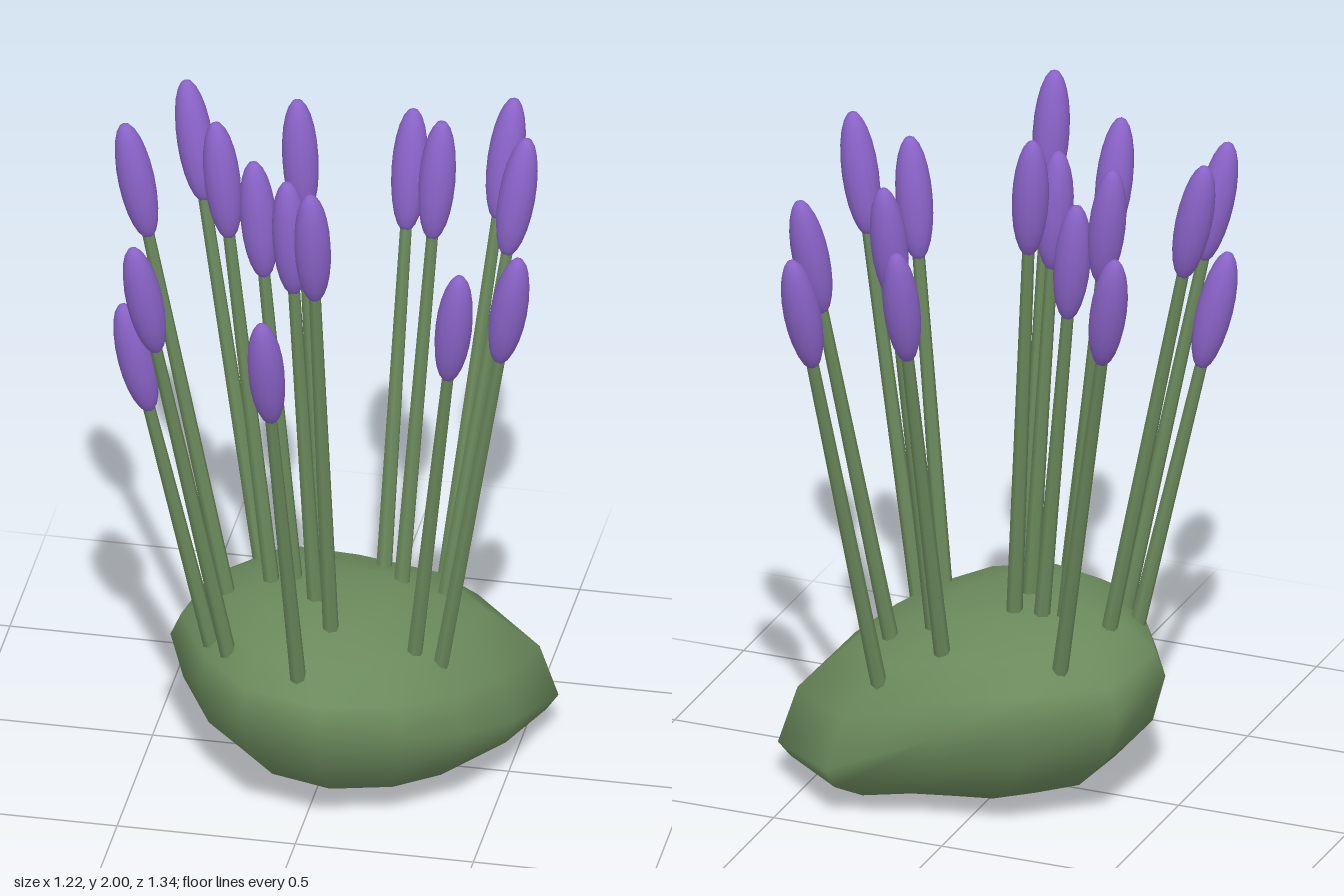
import * as THREE from 'three';

const green = new THREE.MeshStandardMaterial({ color: 0x6b8a5c });
green.name = 'leafGreen';
const purple = new THREE.MeshStandardMaterial({ color: 0x8a63c8 });
purple.name = 'budPurple';

// Widest outline of the mound [x, y, z]; it tips down towards the back right
const RIM = [
  [-0.2, 0.36, -0.41], [0.05, 0.29, -0.44], [0.36, 0.15, -0.465], [0.59, 0.11, -0.25],
  [0.53, 0.2, 0.06], [0.43, 0.26, 0.26], [0.28, 0.32, 0.42], [0.06, 0.36, 0.505],
  [-0.17, 0.36, 0.44], [-0.32, 0.34, 0.27], [-0.44, 0.36, 0.05], [-0.405, 0.33, -0.22],
];
const CROWN = [-0.05, 0.538, 0.05];
const FOOT = [0.1, 0, -0.05];

// Each flower: where its stem leaves the mound, then the centre of its bud
const FLOWERS = [
  [[-0.28, 0.46, 0.02], [-0.545, 1.77, 0.0]],
  [[-0.245, 0.47, -0.235], [-0.465, 1.66, -0.425]],
  [[-0.24, 0.47, 0.265], [-0.44, 1.64, 0.415]],
  [[-0.3, 0.45, 0.2], [-0.49, 1.375, 0.285]],
  [[-0.17, 0.52, -0.02], [-0.32, 1.75, -0.08]],
  [[-0.11, 0.53, -0.04], [-0.22, 1.63, -0.09]],
  [[-0.03, 0.53, -0.045], [-0.11, 1.82, -0.125]],
  [[-0.03, 0.53, 0.07], [-0.095, 1.69, 0.09]],
  [[-0.015, 0.48, 0.39], [-0.06, 1.56, 0.605]],
  [[0.04, 0.52, 0.2], [0.015, 1.81, 0.33]],
  [[0.1, 0.49, -0.26], [0.125, 1.6, -0.485]],
  [[0.17, 0.48, -0.145], [0.24, 1.69, -0.295]],
  [[0.25, 0.37, -0.34], [0.37, 1.59, -0.61]],
  [[0.285, 0.42, -0.165], [0.455, 1.635, -0.34]],
  [[0.27, 0.44, 0.18], [0.4, 1.565, 0.275]],
  [[0.34, 0.41, 0.16], [0.55, 1.625, 0.25]],
];

// Rounded, lopsided lump lofted from the foot through the rim to the crown
function moundGeometry() {
  const n = RIM.length, steps = 4, positions = [...FOOT], index = [];
  const rings = 2 * steps - 1;
  for (let i = 1; i <= rings; i++) {
    const angle = ((i - steps) / steps) * Math.PI / 2;
    const pole = angle < 0 ? FOOT : CROWN;
    const spread = Math.cos(angle) ** (angle < 0 ? 0.85 : 1);
    const rise = Math.abs(Math.sin(angle));
    for (const [x, y, z] of RIM) {
      positions.push(
        pole[0] + (x - pole[0]) * spread,
        y + (pole[1] - y) * rise,
        pole[2] + (z - pole[2]) * spread,
      );
    }
  }
  positions.push(...CROWN);
  const top = rings * n + 1;
  for (let j = 0; j < n; j++) {
    const k = (j + 1) % n;
    index.push(0, 1 + j, 1 + k);
    for (let i = 0; i < rings - 1; i++) {
      const a = 1 + i * n + j, b = 1 + i * n + k;
      index.push(a, a + n, b, b, a + n, b + n);
    }
    index.push(top - n + j, top, top - n + k);
  }
  const geometry = new THREE.BufferGeometry();
  geometry.setAttribute('position', new THREE.Float32BufferAttribute(positions, 3));
  geometry.setIndex(index);
  geometry.computeVertexNormals();
  return geometry;
}

// Stem and bud built upright, then leaned along the line from base to bud
function makeFlower(base, bud, budGeometry) {
  const start = new THREE.Vector3(...base);
  const direction = new THREE.Vector3(...bud).sub(start);
  const length = direction.length();
  const rooted = 0.04;
  const stemLength = length - 0.12 + rooted;

  const flower = new THREE.Group();
  flower.name = 'flower';
  const stem = new THREE.Mesh(new THREE.CylinderGeometry(0.017, 0.023, stemLength, 6), green);
  stem.name = 'stem';
  stem.position.y = stemLength / 2 - rooted;
  const head = new THREE.Mesh(budGeometry, purple);
  head.name = 'bud';
  head.position.y = length;
  flower.add(stem, head);
  flower.position.copy(start);
  flower.quaternion.setFromUnitVectors(new THREE.Vector3(0, 1, 0), direction.normalize());
  return flower;
}

export function createModel() {
  const model = new THREE.Group();
  model.name = 'floweringMound';

  const mound = new THREE.Mesh(moundGeometry(), green);
  mound.name = 'mound';
  model.add(mound);

  const budGeometry = new THREE.SphereGeometry(1, 14, 12).scale(0.051, 0.181, 0.051);
  for (const [base, bud] of FLOWERS) model.add(makeFlower(base, bud, budGeometry));
  return model;
}
